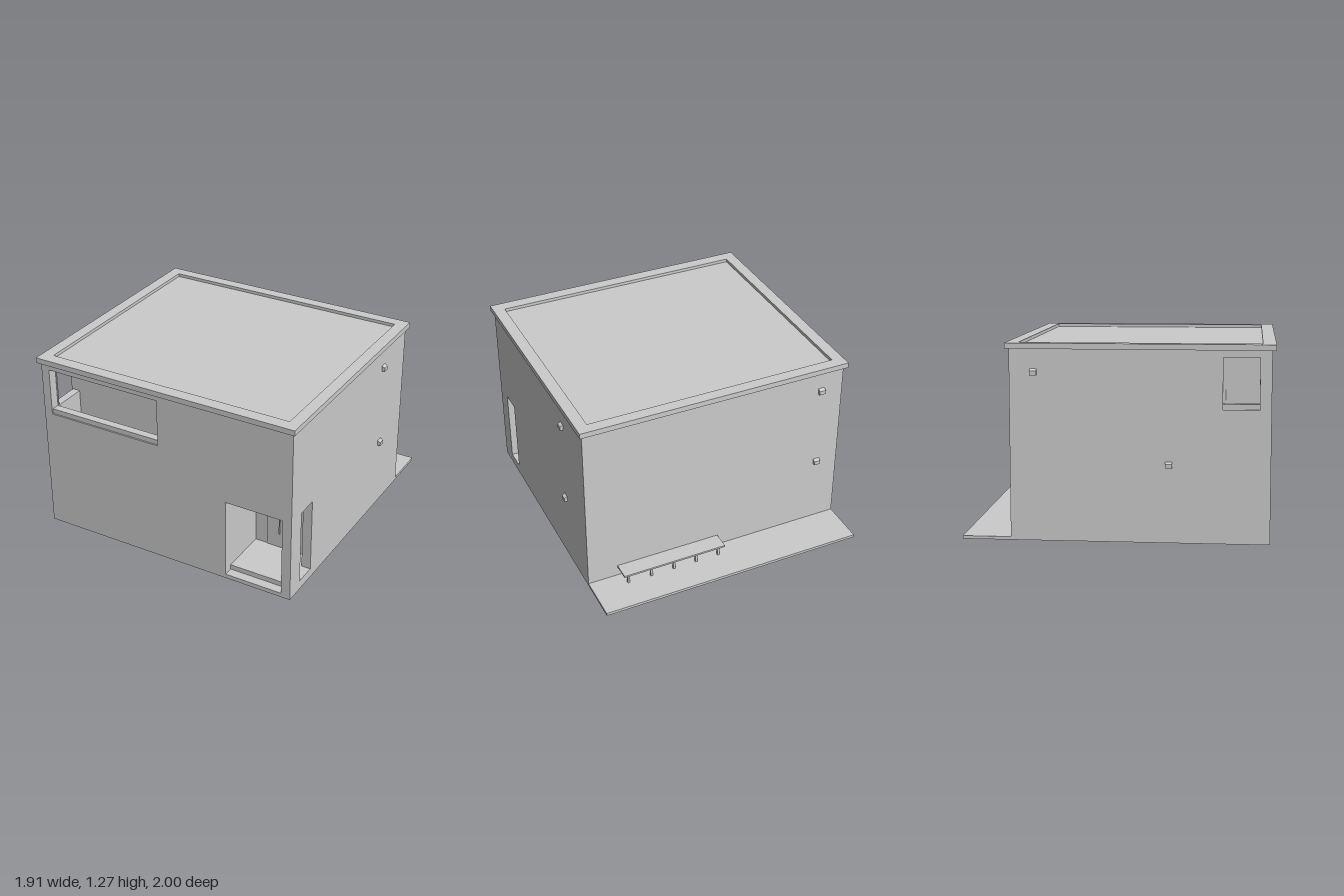
import * as THREE from 'three';

const grey = new THREE.MeshStandardMaterial({ color: 0xcccccc, flatShading: true });

// Box given by its min and max along each axis
function box(parent, name, [x0, x1], [y0, y1], [z0, z1]) {
  const mesh = new THREE.Mesh(new THREE.BoxGeometry(x1 - x0, y1 - y0, z1 - z0), grey);
  mesh.position.set((x0 + x1) / 2, (y0 + y1) / 2, (z0 + z1) / 2);
  mesh.name = name;
  parent.add(mesh);
  return mesh;
}

function rectPath(path, [a0, a1, b0, b1]) {
  path.moveTo(a0, b0);
  path.lineTo(a1, b0);
  path.lineTo(a1, b1);
  path.lineTo(a0, b1);
  path.closePath();
  return path;
}

// Flat panel with rectangular holes, extruded along local +z
function panel(parent, name, rect, holes, depth) {
  const shape = rectPath(new THREE.Shape(), rect);
  for (const h of holes) shape.holes.push(rectPath(new THREE.Path(), h));
  const mesh = new THREE.Mesh(new THREE.ExtrudeGeometry(shape, { depth, bevelEnabled: false }), grey);
  mesh.name = name;
  parent.add(mesh);
  return mesh;
}

export function createModel() {
  const model = new THREE.Group();
  model.name = 'house';
  const W = 0.935, H = 1.235, T = 0.065, F = 0.975, B = -0.685;
  const inX = W - T, inF = F - T;

  // Outer walls with the balcony and entrance openings
  const front = panel(model, 'frontWall', [-W, W, 0, H],
    [[-0.875, -0.04, 0.86, 1.19], [0.46, inX, 0.03, 0.59]], T);
  front.position.z = inF;
  const right = panel(model, 'leftSideWall', [B, inF, 0, H], [[0.69, 0.84, 0.065, 0.59]], T);
  right.rotation.y = -Math.PI / 2;
  right.position.x = W;
  const left = panel(model, 'rightSideWall', [B, inF, 0, H], [[0.67, 0.9, 0.86, 1.19]], T);
  left.rotation.y = -Math.PI / 2;
  left.position.x = -inX;
  box(model, 'backWall', [-inX, inX], [0, H], [B, B + T]);
  box(model, 'groundFloor', [-inX, inX], [0, 0.03], [B + T, inF]);

  // Balcony recess behind the upper openings
  const balcony = new THREE.Group();
  balcony.name = 'balcony';
  model.add(balcony);
  box(balcony, 'balconyBackWall', [-inX, 0], [0.66, 1.23], [0.63, 0.67]);
  box(balcony, 'balconyEndWall', [-0.04, 0], [0.66, 1.23], [0.67, inF]);
  box(balcony, 'balconyFloor', [-inX, -0.04], [0.66, 0.7], [0.67, inF]);
  box(balcony, 'balconyCeiling', [-inX, -0.04], [1.19, 1.23], [0.67, inF]);
  box(balcony, 'balconyFrontSill', [-0.875, -0.04], [0.86, 0.895], [inF, F - 0.01]);
  box(balcony, 'balconySideSill', [-W + 0.01, -inX], [0.86, 0.895], [0.67, 0.9]);

  // Entrance porch with raised floor, door and call box
  const porch = new THREE.Group();
  porch.name = 'porch';
  model.add(porch);
  box(porch, 'porchFloor', [0.46, inX], [0.03, 0.065], [0.57, inF]);
  box(porch, 'porchBackWall', [0.42, inX], [0.03, 0.63], [0.53, 0.57]);
  box(porch, 'porchSideWall', [0.42, 0.46], [0.03, 0.63], [0.57, inF]);
  box(porch, 'porchCeiling', [0.46, inX], [0.59, 0.63], [0.57, inF]);
  box(porch, 'door', [0.55, 0.82], [0.067, 0.48], [0.57, 0.577]);
  box(porch, 'doorHandle', [0.645, 0.652], [0.18, 0.31], [0.585, 0.592]);
  for (const y of [0.2, 0.285]) {
    box(porch, 'handleMount', [0.646, 0.651], [y, y + 0.006], [0.577, 0.585]);
  }
  box(porch, 'callBox', [0.475, 0.515], [0.403, 0.442], [0.57, 0.585]);

  // Flat roof: raised rim around a sunken deck
  const rim = panel(model, 'roofRim', [-0.955, 0.955, -1, 0.71],
    [[-0.875, 0.875, -0.915, 0.63]], 0.037);
  rim.rotation.x = -Math.PI / 2;
  rim.position.y = H;
  box(model, 'roofDeck', [-0.875, 0.875], [H, 1.25], [-0.63, 0.915]);

  // Terrace and bench behind the house
  box(model, 'terrace', [-W, W], [0, 0.02], [-1, B]);
  const bench = new THREE.Group();
  bench.name = 'bench';
  model.add(bench);
  box(bench, 'benchSeat', [-0.02, 0.725], [0.093, 0.106], [-0.81, B - 0.005]);
  for (let i = 0; i < 5; i++) {
    const x = 0.01 + i * 0.167;
    for (const z of [-0.79, -0.707]) {
      box(bench, 'benchLeg', [x, x + 0.016], [0.02, 0.082], [z, z + 0.016]);
    }
    box(bench, 'benchBearer', [x, x + 0.016], [0.082, 0.093], [-0.79, -0.691]);
  }

  // Wall lamps: small wedges with a sloping top, [x, y, z, heading]
  const q = Math.PI / 2;
  const lamps = [
    [W, 0.485, -0.333, q], [W, 1.068, -0.333, q],
    [-W, 0.485, 0.33, -q], [-W, 1.068, -0.53, -q],
    [-0.775, 0.485, B, 2 * q], [-0.775, 1.068, B, 2 * q],
  ];
  const profile = new THREE.Shape([[0, 0], [0.021, 0], [0.021, 0.028], [0, 0.04]]
    .map(([x, y]) => new THREE.Vector2(x, y)));
  const lampGeo = new THREE.ExtrudeGeometry(profile, { depth: 0.044, bevelEnabled: false });
  lampGeo.translate(0, 0, -0.022).rotateY(-q);
  for (const [x, y, z, heading] of lamps) {
    const lamp = new THREE.Mesh(lampGeo, grey);
    lamp.name = 'wallLamp';
    lamp.position.set(x, y, z);
    lamp.rotation.y = heading;
    model.add(lamp);
  }
  return model;
}
